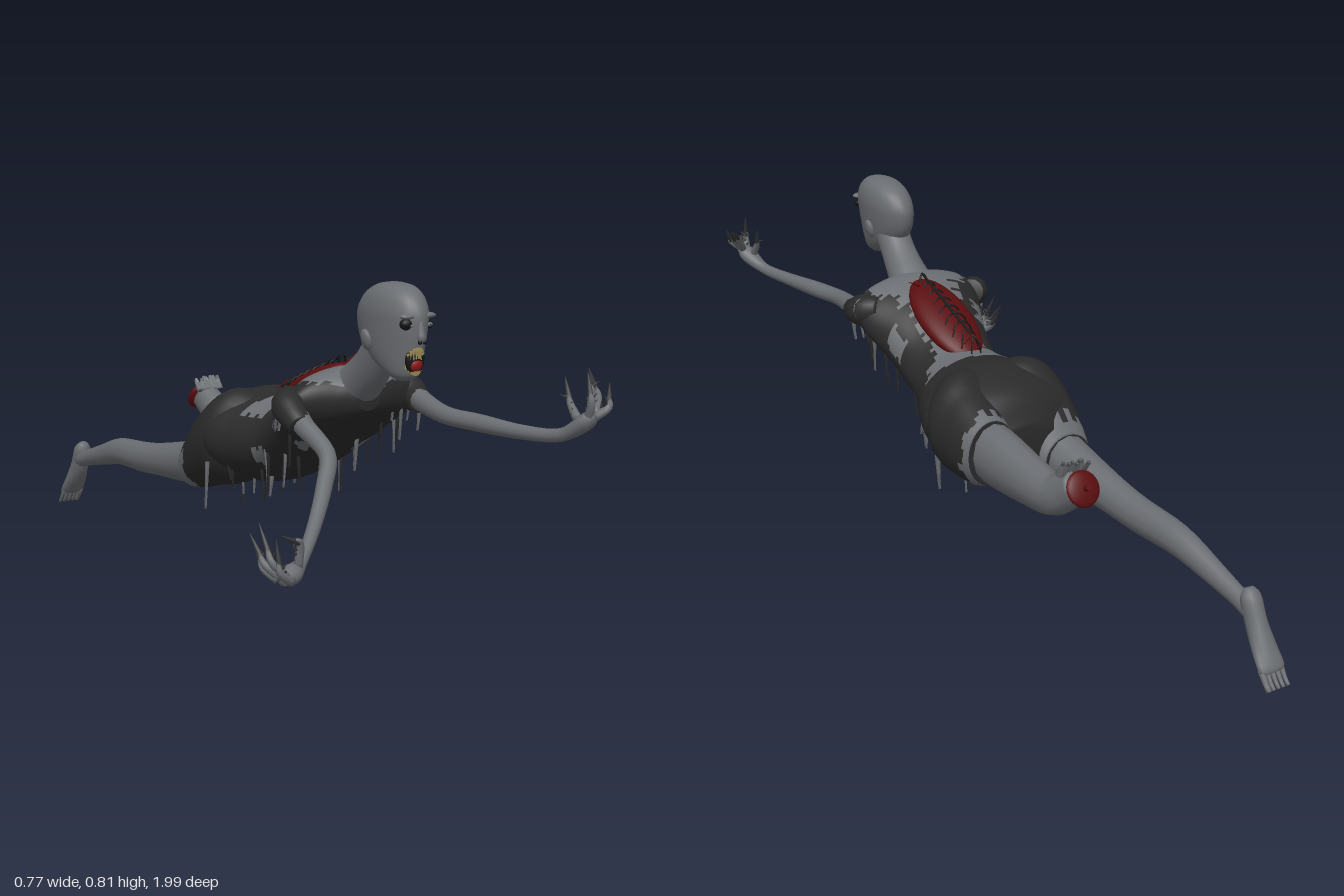
import * as THREE from 'three';

const mat = (name, color) => Object.assign(new THREE.MeshStandardMaterial({ color, side: THREE.DoubleSide }), { name });
const skin = mat('grey skin', 0x6a6d71);
const cloth = mat('dark cloth', 0x2a2a2a);
const wound = mat('wound red', 0x5a0d0f);
const mouthRed = mat('mouth red', 0x8c1717);
const tooth = mat('yellow teeth', 0xa8955a);
const black = mat('black', 0x141414);
const claw = mat('claw', 0x363636);

// Small seeded generator for ragged details
let seed = 7;
const rnd = () => (seed = (seed * 16807) % 2147483647) / 2147483647;
const lerp = (a, b, t) => a + (b - a) * t;
const zAxis = new THREE.Vector3(0, 0, 1), yAxis = new THREE.Vector3(0, 1, 0);

// Sweeps an elliptical section through points [x, y, z, rx, ry];
// axis fixes the section plane, pick(z, side, up) chooses a material index.
function sweep(pts, { sides = 12, steps = 16, axis = null, pick = () => 0 } = {}) {
  const path = new THREE.CatmullRomCurve3(pts.map(p => new THREE.Vector3(p[0], p[1], p[2])), false, 'catmullrom');
  const size = new THREE.CatmullRomCurve3(pts.map(p => new THREE.Vector3(p[3], p[4] ?? p[3], 0)), false, 'catmullrom');
  const pos = [], groups = [[], []];
  for (let i = 0; i <= steps; i++) {
    const t = i / steps, c = path.getPoint(t), r = size.getPoint(t);
    const T = axis ? axis.clone() : path.getTangent(t);
    const N = new THREE.Vector3(1, 0, 0).addScaledVector(T, -T.x).normalize();
    const B = T.clone().cross(N);
    for (let j = 0; j < sides; j++) {
      const a = j / sides * Math.PI * 2;
      const p = c.clone().addScaledVector(N, Math.cos(a) * r.x).addScaledVector(B, Math.sin(a) * r.y);
      pos.push(p.x, p.y, p.z);
    }
  }
  for (let i = 0; i < steps; i++) for (let j = 0; j < sides; j++) {
    const a = i * sides + j, b = i * sides + (j + 1) % sides, c = a + sides, d = b + sides;
    const ang = (j + 0.5) / sides * Math.PI * 2;
    groups[pick(pos[a * 3 + 2], Math.cos(ang), Math.sin(ang))].push(a, b, c, b, d, c);
  }
  // End caps
  const start = pos.length / 3, e = steps * sides;
  for (const p of [pts[0], pts.at(-1)]) pos.push(p[0], p[1], p[2]);
  for (let j = 0; j < sides; j++) {
    const n = (j + 1) % sides;
    groups[0].push(start, n, j, start + 1, e + j, e + n);
  }
  const g = new THREE.BufferGeometry();
  g.setAttribute('position', new THREE.Float32BufferAttribute(pos, 3));
  g.setIndex([...groups[0], ...groups[1]]);
  g.addGroup(0, groups[0].length, 0);
  g.addGroup(groups[0].length, groups[1].length, 1);
  g.computeVertexNormals();
  return g;
}

export function createModel() {
  const model = new THREE.Group();
  model.name = 'crawler';
  const add = (name, geo, material, parent = model) => {
    const m = new THREE.Mesh(geo, material);
    m.name = name;
    parent.add(m);
    return m;
  };
  const limb = (name, material, pts, opt) => add(name, sweep(pts, opt), material);
  const ball = (name, material, p, s, n = 16) => {
    const m = add(name, new THREE.SphereGeometry(1, n, Math.ceil(n * 0.7)), material);
    m.position.set(...p);
    m.scale.set(...s);
    return m;
  };
  const spike = (name, material, a, b, r, tip = 0.15) =>
    limb(name, material, [[...a, r], [...b, r * tip]], { sides: 5, steps: 1 });

  // Torso: z, left edge, right edge, bottom, top; shirt torn open over the back
  const body = [
    [-0.20, 0.03, 0.21, 0.27, 0.37], [-0.15, -0.05, 0.29, 0.245, 0.445], [-0.05, -0.068, 0.31, 0.237, 0.482],
    [0.03, -0.045, 0.285, 0.247, 0.475], [0.12, -0.02, 0.24, 0.275, 0.475], [0.2, -0.03, 0.23, 0.31, 0.505],
    [0.28, -0.055, 0.24, 0.355, 0.56], [0.35, -0.085, 0.265, 0.41, 0.59], [0.4, -0.08, 0.26, 0.45, 0.592],
    [0.44, 0, 0.165, 0.48, 0.572], [0.46, 0.05, 0.11, 0.5, 0.55],
  ];
  // Small tears: z, side, up, size
  const tears = [[0.26, -0.96, 0.28, 0.038], [0.24, 0.96, 0.28, 0.03], [0.12, -0.94, -0.34, 0.025], [0.39, 0, -1, 0.022],
    [0.14, 0.9, -0.43, 0.02], [0.31, -0.6, -0.8, 0.016], [0.3, 0.5, -0.86, 0.018]];
  const torn = (z, side, up) => {
    const rag = 0.04 * Math.sin(z * 170 + side * 9) + 0.03 * Math.sin(z * 410);
    if (z > 0.425) return up > 0.05 && Math.abs(side) < 0.75 + rag ? 1 : 0;
    if (z > 0.33) return up > 0.66 + rag ? 1 : 0;
    if (z > 0.11 && up > 0.84 + rag) return 1;
    if (z > 0.04 + side * 0.02 && z <= 0.11 && up > 0.6 + rag) return 1;
    return tears.some(([tz, ts, tu, r]) => Math.hypot(z - tz, (side - ts) * 0.1, (up - tu) * 0.1) < r * (1 + 5 * rag)) ? 1 : 0;
  };
  limb('torso', [cloth, skin], body.map(([z, l, r, b, t]) => [(l + r) / 2, (b + t) / 2, z, (r - l) / 2, (t - b) / 2]),
    { sides: 60, steps: 90, axis: zAxis, pick: torn });

  // Shorts with ragged hems
  const hem = { sides: 28, steps: 36, axis: zAxis, pick: (z, side, up) => z < -0.188 + 0.012 * Math.sin(side * 11 + up * 6) ? 1 : 0 };
  limb('rightShortsLeg', [cloth, skin], [[0.01, 0.262, -0.215, 0.066, 0.066], [0.018, 0.29, -0.18, 0.08, 0.09],
    [0.024, 0.33, -0.12, 0.093, 0.112], [0.035, 0.358, -0.05, 0.1, 0.125], [0.06, 0.36, 0.03, 0.07, 0.095]], hem);
  limb('leftShortsLeg', [cloth, skin], [[0.23, 0.332, -0.215, 0.066, 0.083], [0.23, 0.334, -0.18, 0.074, 0.096],
    [0.225, 0.345, -0.12, 0.085, 0.112], [0.21, 0.36, -0.05, 0.1, 0.125], [0.18, 0.36, 0.03, 0.07, 0.095]], hem);

  // Whole right leg with foot and toes
  limb('rightLeg', skin, [[0.015, 0.29, -0.15, 0.058], [0.008, 0.26, -0.23, 0.058], [0.003, 0.235, -0.4, 0.045, 0.046],
    [0, 0.224, -0.5, 0.039, 0.043], [-0.005, 0.216, -0.64, 0.035, 0.038], [-0.01, 0.185, -0.76, 0.027, 0.029],
    [-0.012, 0.163, -0.84, 0.022, 0.024], [-0.012, 0.15, -0.89, 0.024, 0.024]], { steps: 28 });
  limb('rightFoot', skin, [[-0.012, 0.2, -0.875, 0.012, 0.01], [-0.012, 0.18, -0.884, 0.025, 0.022],
    [-0.012, 0.13, -0.905, 0.025, 0.026], [-0.011, 0.08, -0.937, 0.032, 0.02], [-0.01, 0.045, -0.965, 0.036, 0.014],
    [-0.01, 0.035, -0.97, 0.028, 0.008]]);
  for (let i = 0; i < 5; i++) {
    const x = -0.038 + i * 0.0135, r = i === 4 ? 0.009 : 0.0065;
    limb('toe', skin, [[x, 0.045, -0.962, r], [x, 0.02, -0.978, r * 0.8], [x, 0.004, -0.992, r * 0.7]], { sides: 7, steps: 4 });
  }

  // Severed left leg
  limb('leftLeg', skin, [[0.225, 0.335, -0.14, 0.06, 0.075], [0.225, 0.33, -0.25, 0.057, 0.075],
    [0.225, 0.322, -0.38, 0.05, 0.06], [0.225, 0.322, -0.46, 0.044, 0.05], [0.218, 0.345, -0.505, 0.04, 0.046],
    [0.212, 0.372, -0.545, 0.036, 0.04]], { steps: 24 });
  const stump = new THREE.Group();
  stump.name = 'stump';
  stump.position.set(0.21, 0.37, -0.56);
  stump.quaternion.setFromUnitVectors(yAxis, new THREE.Vector3(0, 0.47, -0.88).normalize());
  model.add(stump);
  add('stumpFlesh', new THREE.SphereGeometry(0.043, 20, 12).scale(1, 0.3, 1), wound, stump);
  add('stumpBone', new THREE.CylinderGeometry(0.006, 0.009, 0.016, 8), wound, stump).position.y = 0.016;
  for (let i = 0; i < 7; i++) {
    const x = 0.182 + i * 0.01;
    spike('stumpShred', skin, [x, 0.395, -0.515], [x, 0.422 + rnd() * 0.01, -0.525 - rnd() * 0.02], 0.012, 0.4);
  }

  // Arms and ragged sleeves
  limb('rightArm', skin, [[-0.075, 0.52, 0.36, 0.032], [-0.088, 0.48, 0.44, 0.025], [-0.09, 0.43, 0.545, 0.02],
    [-0.132, 0.375, 0.6, 0.019], [-0.2, 0.305, 0.665, 0.016], [-0.275, 0.25, 0.73, 0.014],
    [-0.315, 0.235, 0.755, 0.024, 0.02], [-0.345, 0.23, 0.77, 0.013]], { steps: 32 });
  limb('leftArm', skin, [[0.25, 0.53, 0.36, 0.032], [0.238, 0.51, 0.44, 0.026], [0.215, 0.495, 0.57, 0.021],
    [0.23, 0.492, 0.68, 0.021], [0.25, 0.49, 0.8, 0.017], [0.275, 0.497, 0.9, 0.015],
    [0.3, 0.53, 0.95, 0.024, 0.018], [0.315, 0.553, 0.965, 0.013]], { steps: 32 });
  limb('rightSleeve', cloth, [[-0.06, 0.525, 0.345, 0.032], [-0.086, 0.513, 0.375, 0.04], [-0.093, 0.492, 0.412, 0.035],
    [-0.092, 0.475, 0.44, 0.029]]);
  limb('leftSleeve', cloth, [[0.215, 0.53, 0.345, 0.032], [0.245, 0.523, 0.38, 0.04], [0.244, 0.51, 0.415, 0.035],
    [0.238, 0.505, 0.445, 0.03]]);

  // Clawed fingers: base, knuckle, tip
  const fingers = [
    [[-0.335, 0.235, 0.77], [-0.368, 0.27, 0.765], [-0.372, 0.345, 0.72]],
    [[-0.345, 0.235, 0.765], [-0.375, 0.262, 0.75], [-0.382, 0.32, 0.7]],
    [[-0.325, 0.225, 0.775], [-0.36, 0.25, 0.785], [-0.364, 0.32, 0.775]],
    [[-0.35, 0.23, 0.76], [-0.37, 0.25, 0.735], [-0.368, 0.305, 0.69]],
    [[-0.295, 0.245, 0.75], [-0.295, 0.3, 0.76], [-0.348, 0.325, 0.768]],
    [[0.3, 0.54, 0.96], [0.295, 0.575, 0.975], [0.304, 0.64, 0.95]],
    [[0.29, 0.535, 0.94], [0.29, 0.565, 0.915], [0.302, 0.62, 0.88]],
    [[0.315, 0.55, 0.965], [0.345, 0.58, 0.94], [0.386, 0.63, 0.86]],
    [[0.315, 0.55, 0.955], [0.338, 0.588, 0.925], [0.372, 0.625, 0.88]],
    [[0.31, 0.545, 0.97], [0.335, 0.565, 0.985], [0.362, 0.612, 0.955]],
  ];
  for (const [a, k, t] of fingers) {
    const mid = [0, 1, 2].map(i => lerp(k[i], t[i], 0.35));
    limb('finger', skin, [[...a, 0.011], [...k, 0.008], [...mid, 0.005]], { sides: 7, steps: 8 });
    limb('claw', claw, [[...k, 0.006], [...mid, 0.006], [...t, 0.001]], { sides: 6, steps: 6 });
    for (let i = 0; i < 5; i++) { // torn skin barbs
      const p = a.map((v, j) => lerp(v, mid[j], 0.1 + i * 0.2));
      spike('barb', claw, p, [p[0] + (rnd() - 0.5) * 0.035, p[1] + (rnd() - 0.3) * 0.025, p[2] + (rnd() - 0.5) * 0.03], 0.004);
    }
  }

  // Neck and head: y, back z, front z, half width
  limb('neck', skin, [[0.08, 0.53, 0.38, 0.08, 0.045], [0.078, 0.56, 0.425, 0.056, 0.052], [0.073, 0.61, 0.485, 0.046, 0.047],
    [0.07, 0.67, 0.535, 0.044]], { sides: 18 });
  const skull = [[0.595, 0.595, 0.635, 0.018], [0.61, 0.56, 0.652, 0.033], [0.64, 0.5, 0.661, 0.045], [0.68, 0.46, 0.669, 0.052],
    [0.72, 0.447, 0.673, 0.056], [0.75, 0.452, 0.67, 0.057], [0.78, 0.475, 0.653, 0.05], [0.8, 0.51, 0.625, 0.034],
    [0.808, 0.55, 0.592, 0.012]];
  limb('head', skin, skull.map(([y, b, f, w]) => [lerp(0.066, 0.075, (y - 0.6) / 0.2), y, (b + f) / 2, w, (f - b) / 2]),
    { sides: 28, steps: 32, axis: yAxis });
  for (const s of [-1, 1]) {
    ball('ear', skin, [0.071 + s * 0.059, 0.68, 0.545], [0.01, 0.026, 0.017], 10).rotation.z = -s * 0.25;
    ball('brow', skin, [0.072 + s * 0.026, 0.742, 0.654], [0.022, 0.007, 0.014], 10);
    ball('nostril', black, [0.07 + s * 0.006, 0.686, 0.676], [0.005, 0.005, 0.005], 8);
  }
  // Sunken eyes
  ball('rightEyeSocket', black, [0.046, 0.725, 0.652], [0.019, 0.014, 0.013]);
  ball('rightEye', skin, [0.05, 0.722, 0.656], [0.007, 0.005, 0.0115], 10);
  ball('leftEyeSocket', black, [0.099, 0.722, 0.651], [0.016, 0.011, 0.013]);
  ball('leftEye', skin, [0.099, 0.722, 0.652], [0.013, 0.008, 0.0135]);
  ball('leftPupil', black, [0.099, 0.722, 0.656], [0.004, 0.004, 0.0105], 8);
  limb('nose', skin, [[0.071, 0.735, 0.666, 0.006], [0.07, 0.71, 0.671, 0.008], [0.07, 0.694, 0.674, 0.011, 0.009],
    [0.07, 0.687, 0.669, 0.007]], { sides: 8, steps: 8 });

  // Open mouth with teeth
  ball('mouthHollow', black, [0.067, 0.645, 0.653], [0.025, 0.034, 0.012]);
  ball('tongue', mouthRed, [0.067, 0.634, 0.656], [0.018, 0.016, 0.012]);
  for (let i = -4; i <= 4; i++) {
    const x = 0.067 + i * 0.0049, bend = i * i * 0.0009, z = 0.668 - bend * 0.7;
    spike('upperTooth', tooth, [x, 0.674 - bend, z - 0.002], [x, 0.649 - bend, z - 0.002], 0.0042, 0.5);
    spike('lowerTooth', tooth, [x, 0.611 + bend, z - 0.01], [x, 0.625 + bend * 1.4, z - 0.004], 0.0042, 0.5);
  }

  // Open wound along the back, with exposed spine and ribs
  ball('backWound', wound, [0.1, 0.519, 0.21], [0.073, 0.033, 0.15], 24).rotation.x = -0.47;
  const spineAt = t => [0.1, lerp(0.61, 0.512, t), lerp(0.325, 0.075, t)];
  limb('spine', black, [[...spineAt(0), 0.003], [...spineAt(0.5), 0.004], [...spineAt(1), 0.003]], { sides: 6, steps: 8 });
  for (let i = 0; i < 9; i++) {
    const [x, y, z] = spineAt(i / 8), w = 0.014 + 0.026 * Math.sin(Math.PI * i / 8);
    for (const s of [-1, 1]) limb('rib', black, [[x, y, z, 0.0025], [x + s * w * 0.6, y - 0.01, z - 0.006, 0.0025],
      [x + s * w, y - 0.045, z - 0.014, 0.002]], { sides: 5, steps: 5 });
  }
  spike('looseRib', wound, [0.12, 0.585, 0.3], [0.16, 0.607, 0.29], 0.004);
  spike('looseRib', wound, [0.1, 0.515, 0.08], [0.145, 0.5, 0.06], 0.004);
  spike('looseRib', wound, [0.1, 0.515, 0.08], [0.075, 0.49, 0.06], 0.004);

  // Rags hanging from the shirt and shorts
  for (let i = 0; i < 38; i++) {
    const z = lerp(-0.17, 0.4, (i + rnd()) / 38);
    let k = 0;
    while (k < body.length - 2 && body[k + 1][0] < z) k++;
    const t = (z - body[k][0]) / (body[k + 1][0] - body[k][0]);
    const [, l, r, b, top] = body[k].map((v, j) => lerp(v, body[k + 1][j], t));
    const c = (rnd() < 0.5 ? -1 : 1) * (0.35 + 0.62 * rnd());
    const x = (l + r) / 2 + c * (r - l) / 2;
    const y = (b + top) / 2 - Math.sqrt(1 - c * c) * (top - b) / 2 + 0.015;
    spike('rag', i % 3 ? cloth : skin, [x, y, z], [x + (rnd() - 0.5) * 0.015, y - 0.045 - rnd() * 0.06, z + (rnd() - 0.5) * 0.015], 0.0055, 0.5);
  }
  for (const [x, y, z, len] of [[-0.06, 0.3, -0.05, 0.12], [0.285, 0.28, -0.05, 0.09], [-0.115, 0.51, 0.39, 0.05], [0.255, 0.49, 0.42, 0.06],
    [0.18, 0.54, 0.42, 0.08], [0.21, 0.52, 0.41, 0.11], [0.04, 0.28, 0.1, 0.05], [0.27, 0.38, 0.04, 0.11], [0.03, 0.42, 0.34, 0.09], [0.13, 0.41, 0.34, 0.08]])
    spike('longRag', skin, [x, y, z], [x - 0.006, y - len, z], 0.0065, 0.5);
  return model;
}
